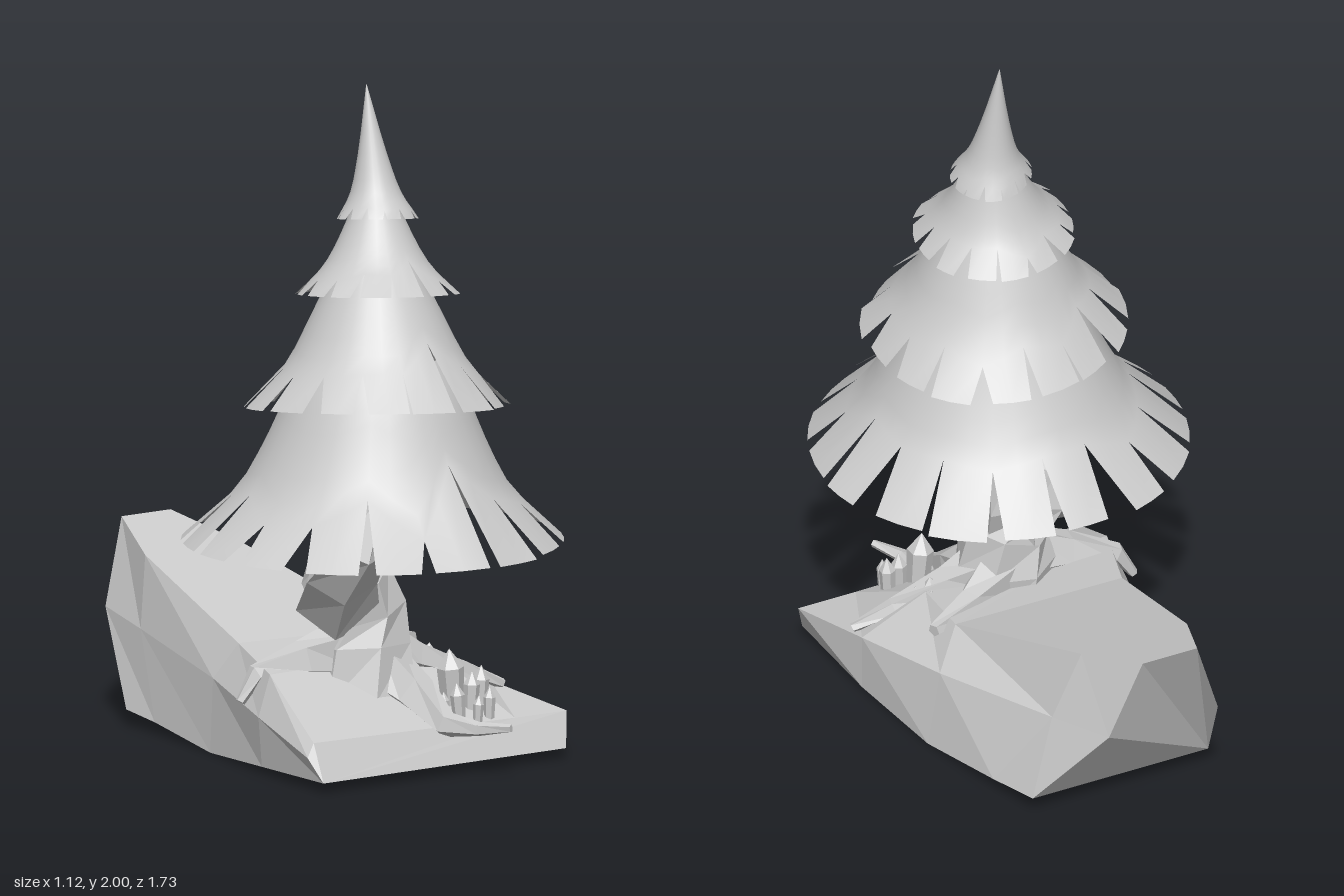
import * as THREE from 'three';

const flat = new THREE.MeshStandardMaterial({ color: 0xcccccc, flatShading: true });
const smooth = new THREE.MeshStandardMaterial({ color: 0xcccccc, side: THREE.DoubleSide });
const V = (x, y, z) => new THREE.Vector3(x, y, z);

let seed = 7;
const rand = () => (seed = (seed * 16807) % 2147483647) / 2147483647;

function addMesh(group, name, geometry, material) {
  const mesh = new THREE.Mesh(geometry, material);
  mesh.name = name;
  group.add(mesh);
  return mesh;
}

// Closed solid through rings of points, each ring counterclockwise about the path
function loft(rings) {
  const pts = [];
  const n = rings[0].length;
  for (let i = 0; i < rings.length - 1; i++) {
    for (let j = 0; j < n; j++) {
      const k = (j + 1) % n;
      const [a, b, c, d] = [rings[i][j], rings[i][k], rings[i + 1][k], rings[i + 1][j]];
      pts.push(a, b, c, a, c, d);
    }
  }
  const first = rings[0], last = rings[rings.length - 1];
  for (let j = 1; j < n - 1; j++) {
    pts.push(first[0], first[j + 1], first[j], last[0], last[j], last[j + 1]);
  }
  const geometry = new THREE.BufferGeometry().setFromPoints(pts);
  geometry.computeVertexNormals();
  return geometry;
}

// Faceted limb along stations [x, y, z, radius]
function limb(stations, sides = 6) {
  const p = stations.map(([x, y, z]) => V(x, y, z));
  const chord = p[p.length - 1].clone().sub(p[0]).normalize();
  const ref = chord.clone().cross(Math.abs(chord.y) > 0.8 ? V(1, 0, 0) : V(0, 1, 0));
  return loft(p.map((c, i) => {
    const t = p[Math.min(i + 1, p.length - 1)].clone().sub(p[Math.max(i - 1, 0)]).normalize();
    const n = ref.clone().addScaledVector(t, -ref.dot(t)).normalize();
    const b = t.clone().cross(n);
    return Array.from({ length: sides }, (_, j) => {
      const a = (j / sides) * Math.PI * 2 + i * 0.2;
      const r = stations[i][3];
      return c.clone().addScaledVector(n, r * Math.cos(a)).addScaledVector(b, r * Math.sin(a));
    });
  }));
}

// Flared skirt of foliage with V-shaped slits cut into its hem
function skirt({ profile, from, to, teeth, gap, slit, frontSlit = slit, tilt = 0 }) {
  const curve = new THREE.CatmullRomCurve3(profile.map(([r, y]) => V(r, y, 0)));
  const rows = 8, cols = teeth * 2, pos = [], index = [];
  const y0 = profile[0][1], height = profile[profile.length - 1][1] - y0;
  const put = (t, angle, grow = 1) => {
    const { x, y } = curve.getPoint(t);
    const r = Math.max(x, 0.001) * grow, f = (y - y0) / height;
    const dx = r * Math.cos(angle), dz = r * Math.sin(angle);
    pos.push(from[0] + (to[0] - from[0]) * f + dx,
      y + tilt * (dz - dx * 0.7), from[1] + (to[1] - from[1]) * f + dz);
    return pos.length / 3 - 1;
  };
  const depth = Array.from({ length: teeth }, (_, i) => (i ? slit * (0.6 + 0.8 * rand()) : frontSlit));
  const step = Math.PI / teeth, start = Math.PI / 2 - 0.03;

  // Shared rows above the slits
  const grid = [];
  for (let k = 0; k <= rows; k++) {
    grid.push(Array.from({ length: cols }, (_, j) => {
      const i = j >> 1;
      const d = j % 2 ? (depth[i] + depth[(i + 1) % teeth]) / 2 : depth[i];
      return put(d + (1 - d) * (k / rows), start + j * step);
    }));
  }
  const quad = (a, b, up, upNext) => index.push(a, up, b, b, up, upNext);
  for (let k = 0; k < rows; k++) {
    for (let j = 0; j < cols; j++) {
      const n = (j + 1) % cols;
      quad(grid[k][j], grid[k][n], grid[k + 1][j], grid[k + 1][n]);
    }
  }
  // Separate teeth along the hem
  for (let i = 0; i < teeth; i++) {
    const mid = start + (2 * i + 1) * step + (rand() - 0.5) * step * 0.4;
    const half = step * (1 - gap * (0.5 + rand()));
    const grow = 0.95 + 0.06 * rand();
    const hem = [-half, 0, half].map((a) => put(0, mid + a, grow));
    const top = [grid[0][2 * i], grid[0][2 * i + 1], grid[0][(2 * i + 2) % cols]];
    quad(hem[0], hem[1], top[0], top[1]);
    quad(hem[1], hem[2], top[1], top[2]);
  }
  const geometry = new THREE.BufferGeometry();
  geometry.setAttribute('position', new THREE.Float32BufferAttribute(pos, 3));
  geometry.setIndex(index);
  geometry.computeVertexNormals();
  return geometry;
}

export function createModel() {
  const model = new THREE.Group();

  // Wedge of rock: low at the front, rising to a blunt prow at the back
  const rock = [
    [[-0.39, 0.03, 0.56], [-0.41, 0.1, 0.51], [-0.38, 0.14, 0.5], [0.36, 0.13, 0.5], [0.55, 0.13, 0.5], [0.51, 0.03, 0.55]],
    [[-0.34, 0.02, 0.2], [-0.36, 0.17, 0.21], [-0.31, 0.29, 0.2], [0.3, 0.29, 0.18], [0.5, 0.18, 0.2], [0.5, 0.01, 0.2]],
    [[-0.26, 0, -0.15], [-0.25, 0.22, -0.15], [-0.21, 0.33, -0.08], [0.33, 0.32, -0.06], [0.43, 0.23, -0.15], [0.47, 0, -0.15]],
    [[-0.21, 0.035, -0.48], [-0.17, 0.29, -0.6], [-0.13, 0.5, -0.63], [0.22, 0.5, -0.63], [0.3, 0.29, -0.6], [0.42, 0.035, -0.46]],
    [[-0.2, 0.05, -0.63], [-0.13, 0.32, -0.82], [-0.04, 0.57, -0.86], [0.14, 0.57, -0.86], [0.23, 0.32, -0.82], [0.38, 0.05, -0.63]],
  ];
  addMesh(model, 'rockBase', loft(rock.map((ring) => ring.map((p) => V(...p)))), flat);

  // Twisted trunk forking into limbs under the foliage
  const tree = new THREE.Group();
  tree.name = 'trunk';
  model.add(tree);
  addMesh(tree, 'trunkStem', limb([
    [0.04, 0.18, 0.2, 0.17], [0.04, 0.34, 0.18, 0.15], [0.04, 0.44, 0.18, 0.135],
    [-0.02, 0.54, 0.18, 0.135], [-0.03, 0.61, 0.19, 0.1]], 7), flat);
  const limbs = [
    [[-0.04, 0.47, 0.18, 0.13], [-0.11, 0.58, 0.28, 0.11], [-0.14, 0.68, 0.4, 0.09], [-0.1, 0.85, 0.42, 0.05]],
    [[0.02, 0.46, 0.17, 0.12], [0.06, 0.58, 0.13, 0.095], [0.09, 0.74, 0.12, 0.065], [0.05, 1.0, 0.22, 0.04]],
  ];
  limbs.forEach((l) => addMesh(tree, 'limb', limb(l, 5), flat));

  // Roots gripping the rock
  const roots = [
    [[0.07, 0.27, 0.22, 0.1], [0.09, 0.21, 0.38, 0.065], [0.1, 0.14, 0.51, 0.04], [0.15, 0.135, 0.6, 0.022], [0.2, 0.145, 0.69, 0.012]],
    [[0, 0.33, 0.18, 0.1], [-0.16, 0.31, 0.16, 0.06], [-0.3, 0.28, 0.12, 0.03], [-0.35, 0.2, 0.11, 0.015]],
    [[0.08, 0.32, 0.18, 0.1], [0.22, 0.28, 0.2, 0.055], [0.38, 0.23, 0.23, 0.03], [0.5, 0.18, 0.26, 0.015]],
    [[0.08, 0.32, 0.13, 0.09], [0.22, 0.3, 0.05, 0.045], [0.38, 0.29, -0.02, 0.02]],
  ];
  roots.forEach((r) => addMesh(tree, 'root', limb(r, 5), flat));

  // Four overlapping foliage skirts, drifting toward the tip
  const tiers = [
    { profile: [[0.575, 0.67], [0.41, 0.81], [0.32, 0.97], [0.26, 1.11], [0.2, 1.22]],
      from: [0, 0.29], to: [0.01, 0.3], teeth: 17, gap: 0.26, slit: 0.24, frontSlit: 0.45 },
    { profile: [[0.39, 1.065], [0.27, 1.19], [0.195, 1.33], [0.14, 1.44], [0.1, 1.51]],
      from: [0.01, 0.3], to: [0.02, 0.28], teeth: 15, gap: 0.25, slit: 0.2, frontSlit: 0.38, tilt: 0.1 },
    { profile: [[0.24, 1.395], [0.155, 1.48], [0.09, 1.6], [0.06, 1.68]],
      from: [0.02, 0.285], to: [0.04, 0.25], teeth: 14, gap: 0.28, slit: 0.23, frontSlit: 0.38, tilt: 0.11 },
    { profile: [[0.122, 1.61], [0.078, 1.68], [0.045, 1.79], [0.001, 2]],
      from: [0.045, 0.255], to: [0.045, 0.2], teeth: 13, gap: 0.28, slit: 0.15, tilt: 0.14 },
  ];
  tiers.forEach((t, i) => addMesh(model, `foliageTier${i + 1}`, skirt(t), smooth));

  // Pointed six-sided crystals: x, base y, z, radius, height
  const crystals = new THREE.Group();
  crystals.name = 'crystals';
  model.add(crystals);
  [[0.21, 0.15, 0.4, 0.04, 0.19], [0.25, 0.14, 0.43, 0.025, 0.13], [0.3, 0.14, 0.41, 0.025, 0.14],
    [0.18, 0.13, 0.47, 0.022, 0.12], [0.23, 0.12, 0.49, 0.016, 0.09], [0.28, 0.12, 0.48, 0.018, 0.11],
    [0.16, 0.13, 0.43, 0.015, 0.09], [0.27, 0.23, 0.2, 0.022, 0.09], [0.31, 0.22, 0.22, 0.016, 0.07],
    [0.29, 0.23, 0.17, 0.014, 0.07]].forEach(([x, y, z, r, h], i) => {
    const outline = [[0, 0], [r * 0.8, 0], [r, h * 0.7], [0, h]].map((p) => new THREE.Vector2(...p));
    const crystal = addMesh(crystals, 'crystal', new THREE.LatheGeometry(outline, 6), flat);
    crystal.position.set(x, y, z);
    crystal.rotation.set(0.08 * Math.sin(i * 2), i, 0.08 * Math.cos(i * 3));
  });

  return model;
}
